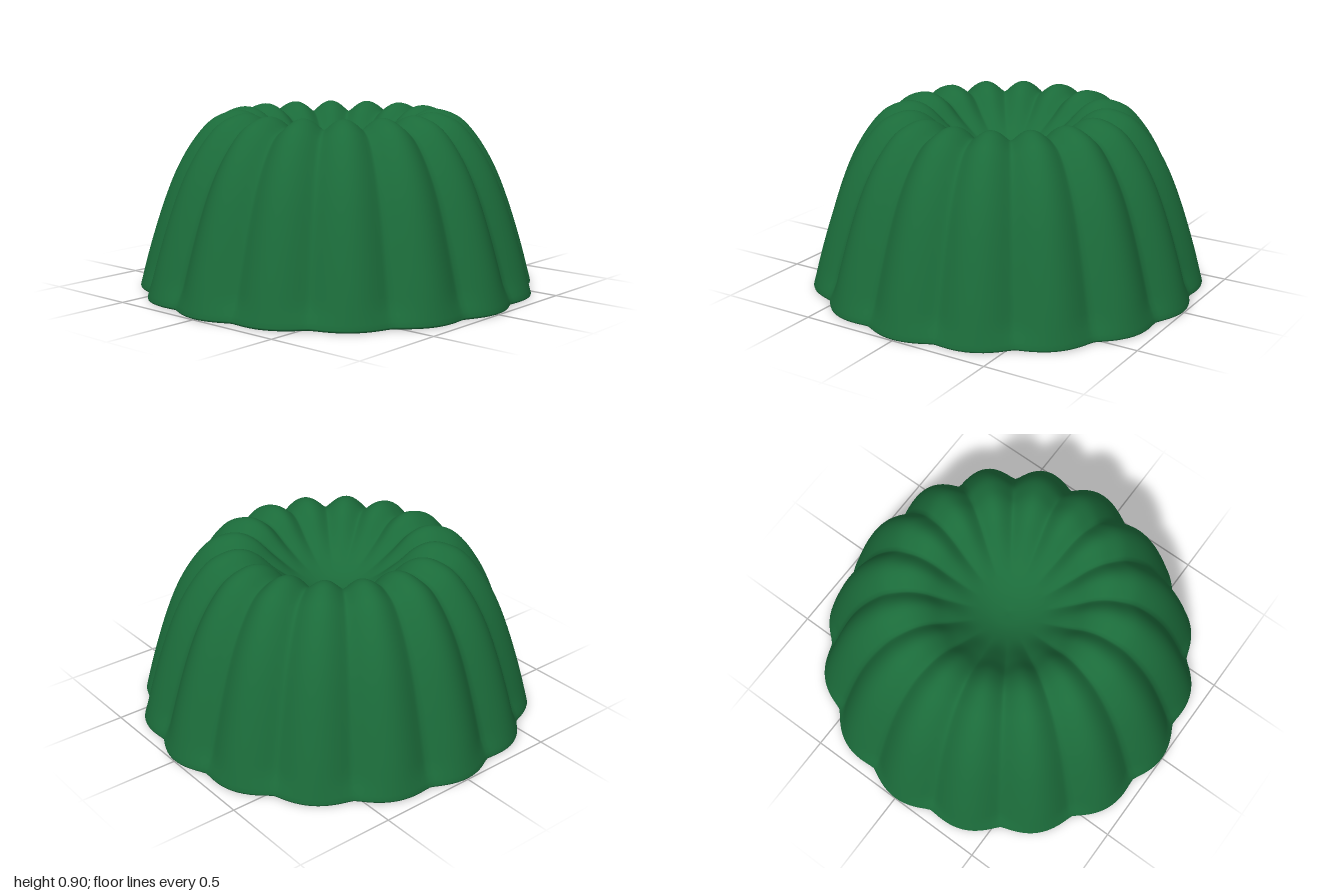
import * as THREE from 'three';
import { mergeVertices } from 'three/addons/utils/BufferGeometryUtils.js';

const LOBES = 16;
const { smoothstep, lerp } = THREE.MathUtils;
const v = (x, y) => new THREE.Vector2(x, y);

// Ridge profile from the foot, over the crown and down into the central dip
function ridgeProfile() {
  const curve = new THREE.SplineCurve([
    v(1.0, 0.012), v(0.95, 0.2), v(0.88, 0.42), v(0.81, 0.595), v(0.73, 0.735),
    v(0.64, 0.84), v(0.55, 0.886), v(0.47, 0.893), v(0.39, 0.855), v(0.3, 0.765),
    v(0.2, 0.68), v(0.1, 0.635), v(0, 0.62),
  ]);
  const points = curve.getPoints(64);
  points[points.length - 1].set(0, 0.62);
  return points;
}

// Depth of the grooves: shallow at the foot, fading out in the dip
function grooveDepth(r, y) {
  return lerp(0.04, 0.06, smoothstep(y, 0, 0.12)) * smoothstep(r, 0.15, 0.55);
}

function flutedBody() {
  // Flat underside and a tight rounded foot come before the ridge profile
  const base = [v(0, 0), v(0.5, 0), v(0.97, 0), v(0.99, 0), v(0.998, 0.004)];
  const lathe = new THREE.LatheGeometry([...base, ...ridgeProfile()], LOBES * 14);
  const pos = lathe.attributes.position;
  const nor = lathe.attributes.normal;

  // Press rounded lobes with narrow valleys into the turned form
  for (let i = 0; i < pos.count; i++) {
    const x = pos.getX(i), y = pos.getY(i), z = pos.getZ(i);
    const r = Math.hypot(x, z);
    const c = Math.cos(Math.atan2(x, z) * LOBES / 2);
    const groove = 1 - Math.sqrt((c * c + 0.008) / 1.008);
    if (y < 0.02) {
      const s = 1 - groove * 0.044;
      pos.setXYZ(i, x * s, y, z * s);
    } else {
      const d = groove * grooveDepth(r, y) * 1.09;
      const ny = nor.getY(i) * smoothstep(y, 0.02, 0.2);
      pos.setXYZ(i, x - nor.getX(i) * d, y - ny * d, z - nor.getZ(i) * d);
    }
  }

  // Close the seam and smooth all round
  lathe.deleteAttribute('normal');
  lathe.deleteAttribute('uv');
  const geometry = mergeVertices(lathe, 1e-5);
  geometry.computeVertexNormals();
  return geometry;
}

export function createModel() {
  const group = new THREE.Group();
  group.name = 'flutedPudding';
  const body = new THREE.Mesh(flutedBody(), new THREE.MeshStandardMaterial({ color: 0x1b6b3a }));
  body.name = 'flutedBody';
  group.add(body);
  return group;
}
